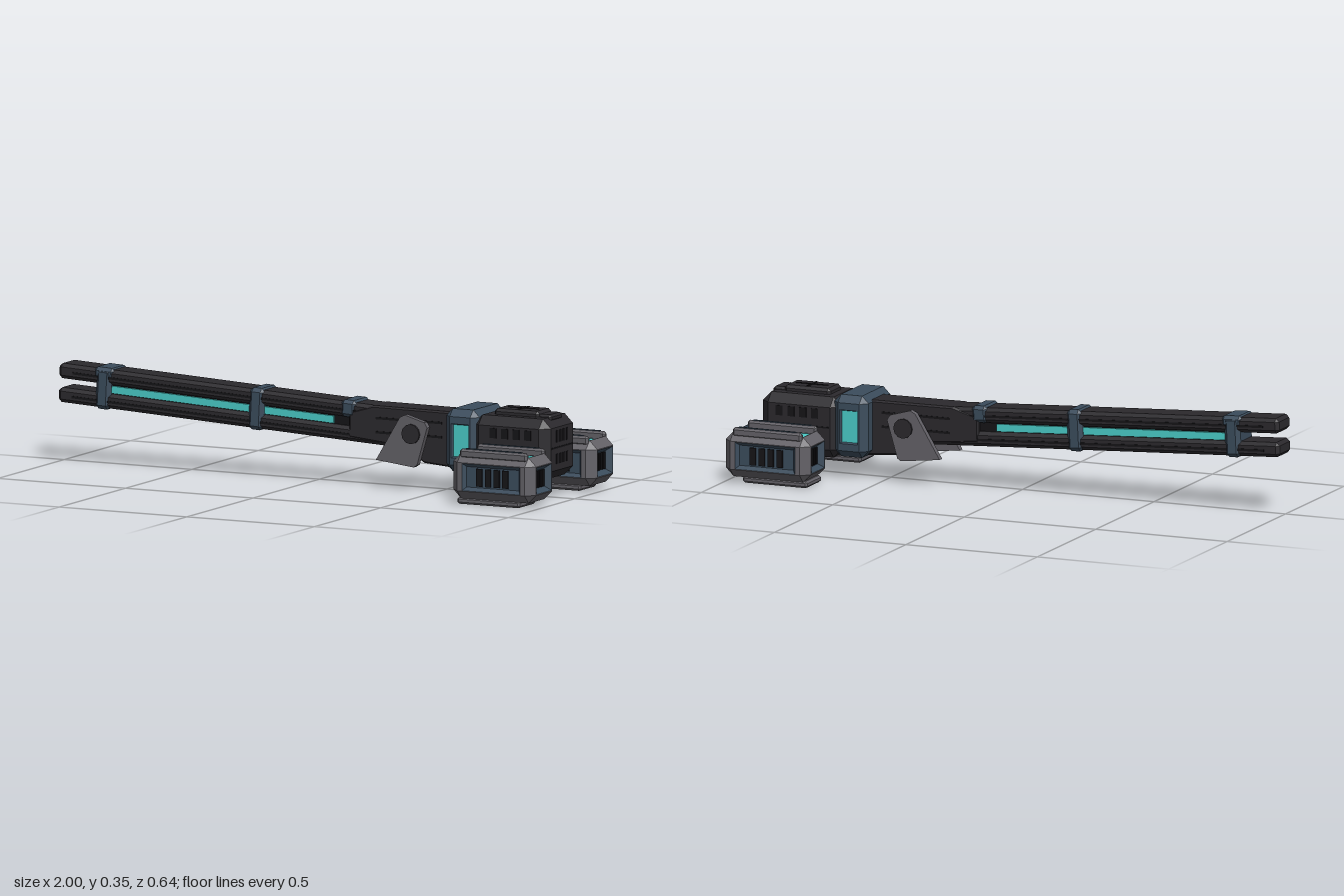
import * as THREE from 'three';
import { ConvexGeometry } from 'three/addons/geometries/ConvexGeometry.js';

const paint = (name, color) => {
  const m = new THREE.MeshStandardMaterial({ color });
  m.name = name;
  return m;
};

export function createModel() {
  const dark = paint('dark metal', 0x2b292d);
  const black = paint('vent black', 0x151417);
  const grey = paint('grey plating', 0x636167);
  const blue = paint('blue steel', 0x3b4c5c);
  const cyan = paint('cyan glow', 0x4accc8);

  const model = new THREE.Group();
  model.name = 'railCannon';

  const add = (parent, name, geo, mat, x = 0, y = 0, z = 0) => {
    const m = new THREE.Mesh(geo, mat);
    m.name = name;
    m.position.set(x, y, z);
    parent.add(m);
    return m;
  };
  const box = (parent, name, mat, x0, x1, y0, y1, z0, z1) =>
    add(parent, name, new THREE.BoxGeometry(x1 - x0, y1 - y0, z1 - z0), mat,
      (x0 + x1) / 2, (y0 + y1) / 2, (z0 + z1) / 2);

  // Box with every edge and corner cut at distance c
  const chamferGeo = (w, h, d, c) => {
    const pts = [], half = [w / 2, h / 2, d / 2];
    for (const sx of [-1, 1]) for (const sy of [-1, 1]) for (const sz of [-1, 1])
      for (let a = 0; a < 3; a++) {
        const p = half.map((v, i) => (i === a ? v : v - c));
        pts.push(new THREE.Vector3(p[0] * sx, p[1] * sy, p[2] * sz));
      }
    return new ConvexGeometry(pts);
  };
  const chamfer = (parent, name, mat, x0, x1, y0, y1, z0, z1, c) =>
    add(parent, name, chamferGeo(x1 - x0, y1 - y0, z1 - z0, c), mat,
      (x0 + x1) / 2, (y0 + y1) / 2, (z0 + z1) / 2);

  const fromPositions = (pos) => {
    const g = new THREE.BufferGeometry();
    g.setAttribute('position', new THREE.Float32BufferAttribute(pos, 3));
    g.computeVertexNormals();
    return g;
  };

  // Chamfered box whose listed faces are sunk: { a: axis, s: sign, m: margins, d: depth, floor }
  const recessedBox = (parent, name, size, c, skin, wall, faces) => {
    const src = chamferGeo(...size, c);
    const p = src.attributes.position, n = src.attributes.normal;
    const shell = [];
    for (let i = 0; i < p.count; i += 3) {
      const nn = [n.getX(i), n.getY(i), n.getZ(i)];
      if (faces.some((f) => nn[f.a] * f.s > 0.99)) continue;
      for (let k = i; k < i + 3; k++) shell.push(p.getX(k), p.getY(k), p.getZ(k));
    }
    const walls = [];
    for (const f of faces) {
      const u = (f.a + 1) % 3, v = (f.a + 2) % 3, floor = [];
      const ring = (mu, mv, depth) => [[-1, -1], [1, -1], [1, 1], [-1, 1]].map(([i, j]) => {
        const q = [0, 0, 0];
        q[f.a] = f.s * (size[f.a] / 2 - depth);
        q[u] = i * (size[u] / 2 - c - mu);
        q[v] = j * (size[v] / 2 - c - mv);
        return q;
      });
      const quad = (out, A, B, C, D) =>
        (f.s > 0 ? [A, B, C, A, C, D] : [A, C, B, A, D, C]).forEach((q) => out.push(...q));
      const [mu, mv] = f.m, slope = f.slope ?? 0.01;
      const r0 = ring(0, 0, 0), r1 = ring(mu, mv, 0), r2 = ring(mu + slope, mv + slope, f.d);
      for (let i = 0; i < 4; i++) {
        const j = (i + 1) % 4;
        quad(shell, r0[i], r0[j], r1[j], r1[i]);
        quad(walls, r1[i], r1[j], r2[j], r2[i]);
      }
      quad(floor, ...r2);
      add(parent, name + 'Inset', fromPositions(floor), f.floor);
    }
    add(parent, name + 'Shell', fromPositions(shell), skin);
    add(parent, name + 'InsetWalls', fromPositions(walls), wall);
  };

  // Barrel: tilted twin rails with a glowing core, local x runs from the muzzle back
  const barrel = new THREE.Group();
  barrel.name = 'barrel';
  barrel.position.set(-1.0, 0.28, 0);
  barrel.rotation.z = -0.052;
  model.add(barrel);
  chamfer(barrel, 'upperRail', dark, 0.002, 1.42, 0.014, 0.067, -0.055, 0.055, 0.012);
  chamfer(barrel, 'lowerRail', dark, 0.004, 1.42, -0.07, -0.018, -0.055, 0.055, 0.012);
  box(barrel, 'barrelCore', black, 0.17, 1.4, -0.025, 0.02, -0.038, 0.038);
  for (const s of [-1, 1]) {
    add(barrel, 'glowStrip', new THREE.BoxGeometry(0.88, 0.026, 0.008), cyan, 0.64, -0.003, s * 0.042);
    add(barrel, 'upperRailGroove', new THREE.BoxGeometry(1.2, 0.008, 0.004), black, 0.66, 0.038, s * 0.055);
    add(barrel, 'lowerRailGroove', new THREE.BoxGeometry(1.2, 0.008, 0.004), black, 0.66, -0.046, s * 0.055);
  }
  chamfer(barrel, 'frontClamp', blue, 0.15, 0.21, -0.075, 0.07, -0.061, 0.061, 0.014);
  chamfer(barrel, 'frontClampLip', blue, 0.14, 0.22, 0.03, 0.072, -0.058, 0.058, 0.012);
  chamfer(barrel, 'middleClamp', blue, 0.75, 0.81, -0.075, 0.073, -0.061, 0.061, 0.014);
  chamfer(barrel, 'rearClamp', blue, 1.11, 1.17, 0.014, 0.074, -0.06, 0.06, 0.012);

  // Receiver: side profile extruded across the model
  const profile = new THREE.Shape([[0.15, 0.17], [0.36, 0.15], [0.44, 0.1], [0.56, 0.09], [0.56, 0.275],
    [0.24, 0.277], [0.15, 0.25]].map(([x, y]) => new THREE.Vector2(x, y)));
  const receiver = new THREE.ExtrudeGeometry(profile,
    { depth: 0.1, bevelThickness: 0.008, bevelSize: 0.006, bevelSegments: 1 });
  add(model, 'receiver', receiver.translate(0, 0, -0.05), dark);
  for (const s of [-1, 1])
    for (const y of [0.19, 0.24])
      add(model, 'receiverGroove', new THREE.BoxGeometry(0.26, 0.008, 0.004), black, 0.38, y, s * 0.058);

  // Slanted side plates on pivots
  const plate = new THREE.Shape([[0.272, 0.1], [0.42, 0.083], [0.433, 0.092], [0.472, 0.225], [0.462, 0.243],
    [0.385, 0.265], [0.365, 0.255]].map(([x, y]) => new THREE.Vector2(x, y)));
  plate.holes.push(new THREE.Path().absarc(0.41, 0.2, 0.034, 0, Math.PI * 2, true));
  const plateGeo = new THREE.ExtrudeGeometry(plate, { depth: 0.022, bevelEnabled: false, curveSegments: 8 });
  for (const s of [-1, 1]) {
    add(model, 'sidePlate', plateGeo, grey, 0, 0, s * 0.087 - 0.011);
    const pin = add(model, 'platePivot', new THREE.CylinderGeometry(0.035, 0.035, 0.05, 12), dark, 0.41, 0.2, s * 0.08);
    pin.rotation.x = Math.PI / 2;
  }

  // Collar with glowing side windows
  const collar = new THREE.Group();
  collar.name = 'collar';
  collar.position.set(0.61, 0.19, 0);
  model.add(collar);
  recessedBox(collar, 'collar', [0.13, 0.22, 0.232], 0.025, blue, blue,
    [-1, 1].map((s) => ({ a: 2, s, m: [0.006, 0.025], d: 0.012, slope: 0.004, floor: cyan })));

  // Rear housing with vents and a raised lid
  const housing = new THREE.Group();
  housing.name = 'rearHousing';
  model.add(housing);
  chamfer(housing, 'housing', dark, 0.65, 0.95, 0.07, 0.285, -0.114, 0.114, 0.032);
  chamfer(housing, 'lid', dark, 0.71, 0.885, 0.27, 0.305, -0.053, 0.053, 0.01);
  chamfer(housing, 'lidBack', dark, 0.87, 0.93, 0.27, 0.295, -0.045, 0.045, 0.008);
  box(housing, 'lidSeam', black, 0.74, 0.86, 0.303, 0.307, -0.004, 0.004);
  box(housing, 'lidCrossSeam', black, 0.796, 0.804, 0.303, 0.307, -0.04, 0.04);
  box(housing, 'rearSeam', black, 0.946, 0.952, 0.179, 0.184, -0.08, 0.08);
  for (let i = 0; i < 4; i++) {
    const z = (i - 1.5) * 0.024;
    box(housing, 'upperRearVent', black, 0.946, 0.952, 0.2, 0.243, z - 0.007, z + 0.007);
    box(housing, 'lowerRearVent', black, 0.946, 0.952, 0.125, 0.16, z - 0.007, z + 0.007);
    for (const s of [-1, 1])
      add(housing, 'sideVent', new THREE.BoxGeometry(0.026, 0.035, 0.005), black, 0.74 + i * 0.045, 0.228, s * 0.114);
  }
  for (const s of [-1, 1])
    add(housing, 'sideSeam', new THREE.BoxGeometry(0.23, 0.005, 0.005), black, 0.8, 0.181, s * 0.114);
  box(housing, 'bellyPanel', blue, 0.7, 0.9, 0.066, 0.072, -0.06, 0.06);

  // Side pods: sunk grilles on the sides and ends, glowing top, foot plate below
  for (const side of [-1, 1]) {
    const pod = new THREE.Group();
    pod.name = side > 0 ? 'leftPod' : 'rightPod';
    pod.position.set(0.838, 0.1, side * 0.23);
    model.add(pod);
    const faces = [{ a: 1, s: 1, m: [0.002, 0.002], d: 0.012, slope: 0.004, floor: cyan }];
    for (const s of [-1, 1]) {
      faces.push({ a: 0, s, m: [0.003, 0.003], d: 0.022, slope: 0.016, floor: blue });
      faces.push({ a: 2, s, m: [0.018, 0.002], d: 0.014, slope: 0.012, floor: blue });
    }
    recessedBox(pod, 'pod', [0.324, 0.16, 0.18], 0.03, grey, blue, faces);
    for (const s of [-1, 1]) {
      chamfer(pod, 'topRail', grey, -0.132, 0.132, 0.062, 0.096, s * 0.064 - 0.011, s * 0.064 + 0.011, 0.008);
      box(pod, 'topRailTrim', blue, -0.11, 0.11, 0.094, 0.098, s * 0.064 - 0.004, s * 0.064 + 0.004);
      for (let i = 0; i < 4; i++) {
        add(pod, 'sideGrille', new THREE.BoxGeometry(0.022, 0.062, 0.009), black, (i - 1.5) * 0.034, 0, s * 0.077);
        add(pod, 'endGrille', new THREE.BoxGeometry(0.009, 0.06, 0.01), black, s * 0.142, 0, (i - 1.5) * 0.018);
      }
    }
    chamfer(pod, 'footPlate', grey, -0.148, 0.097, -0.1, -0.076, -0.064, 0.064, 0.007);
  }
  return model;
}
